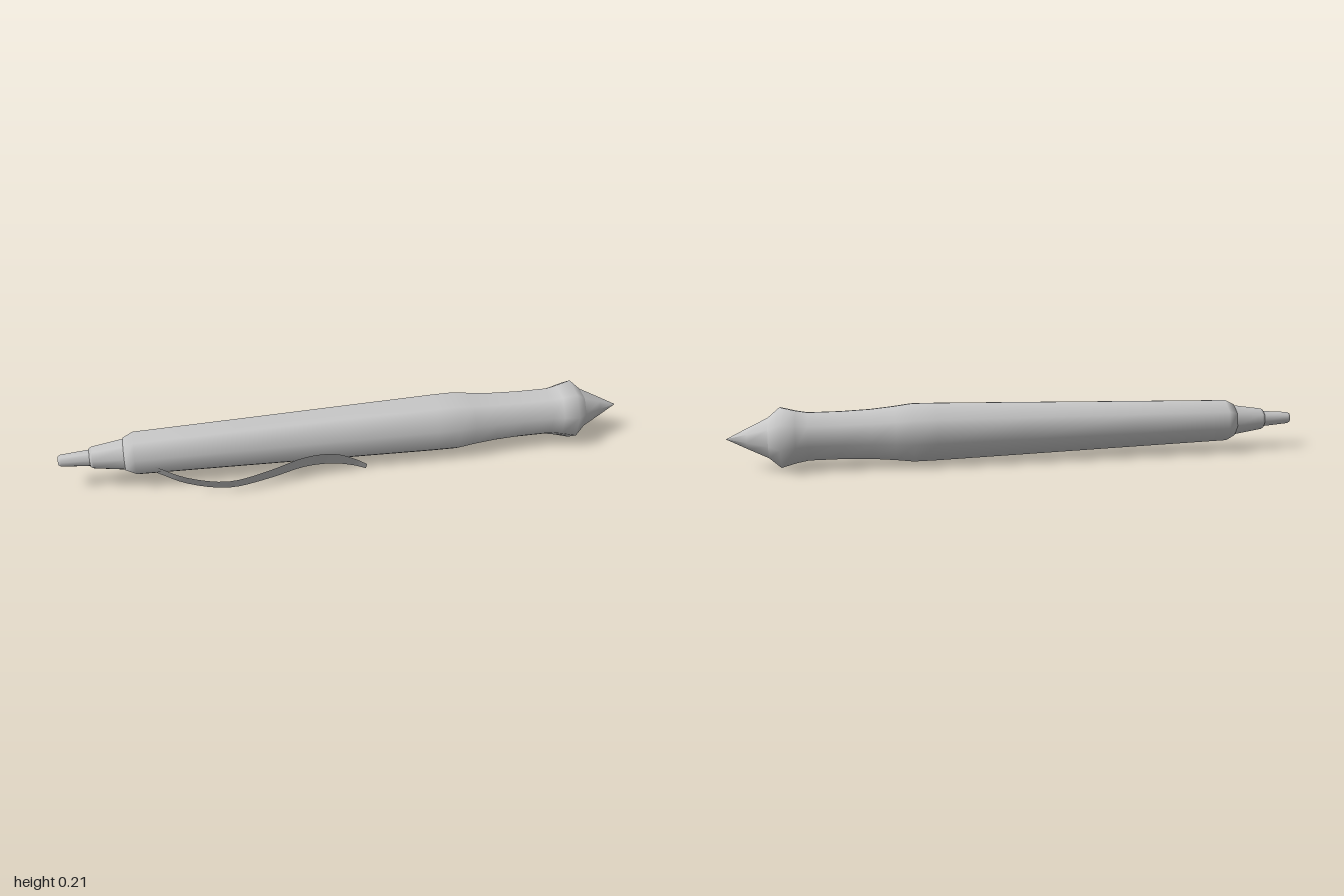
import * as THREE from 'three';

const AXIS_Y = 0.11, AXIS_Z = -0.019;
const CLIP_ANGLE = THREE.MathUtils.degToRad(33); // clip side, measured down from +z

// Eight-sided turned part along x; profile is [x, radius] from tail to tip
function turned(name, profile, material) {
  const points = profile.map(([x, r]) => new THREE.Vector2(r, x));
  const mesh = new THREE.Mesh(new THREE.LatheGeometry(points, 8, CLIP_ANGLE), material);
  mesh.rotation.z = -Math.PI / 2;
  mesh.name = name;
  return mesh;
}

// Thin bowed strip: swept from [x, distance from axis, half width]
function clipGeometry() {
  const keys = [
    [-0.68, 0.07, 0.024], [-0.58, 0.122, 0.025], [-0.44, 0.153, 0.027], [-0.3, 0.132, 0.034],
    [-0.17, 0.1, 0.041], [-0.07, 0.099, 0.04], [0, 0.12, 0.027], [0.04, 0.14, 0.018],
  ];
  const curve = new THREE.CatmullRomCurve3(keys.map((k) => new THREE.Vector3(...k)));
  const steps = 28;
  const geometry = new THREE.PlaneGeometry(1, 1, steps, 1);
  const pos = geometry.attributes.position;
  for (let i = 0; i <= steps; i++) {
    const p = curve.getPoint(i / steps);
    pos.setXYZ(i, p.x, p.z, p.y);
    pos.setXYZ(i + steps + 1, p.x, -p.z, p.y);
  }
  geometry.computeVertexNormals();
  return geometry;
}

export function createModel() {
  const group = new THREE.Group();
  group.name = 'pen';
  group.position.set(0, AXIS_Y, AXIS_Z);
  const grey = new THREE.MeshStandardMaterial({ color: 0xcccccc });
  const sheet = new THREE.MeshStandardMaterial({ color: 0xcccccc, side: THREE.DoubleSide });

  // Push button and its collar
  group.add(turned('button', [[-1, 0], [-1, 0.016], [-0.99, 0.022], [-0.89, 0.03]], grey));
  group.add(turned('collar', [[-0.895, 0], [-0.895, 0.034], [-0.885, 0.04], [-0.77, 0.058]], grey));

  // Barrel, waisted grip and flared end
  group.add(turned('barrel', [
    [-0.785, 0], [-0.78, 0.06], [-0.745, 0.078], [-0.4, 0.087], [0, 0.098], [0.3, 0.106], [0.38, 0.107],
    [0.44, 0.099], [0.52, 0.091], [0.62, 0.087], [0.73, 0.087], [0.77, 0.095], [0.82, 0.109], [0.86, 0.073],
  ], grey));

  // Pointed tip
  group.add(turned('tip', [[0.86, 0.073], [0.93, 0.037], [1, 0]], grey));

  // Pocket clip
  const clip = new THREE.Mesh(clipGeometry(), sheet);
  clip.name = 'clip';
  clip.rotation.x = CLIP_ANGLE;
  group.add(clip);

  const model = new THREE.Group();
  model.add(group);
  return model;
}
